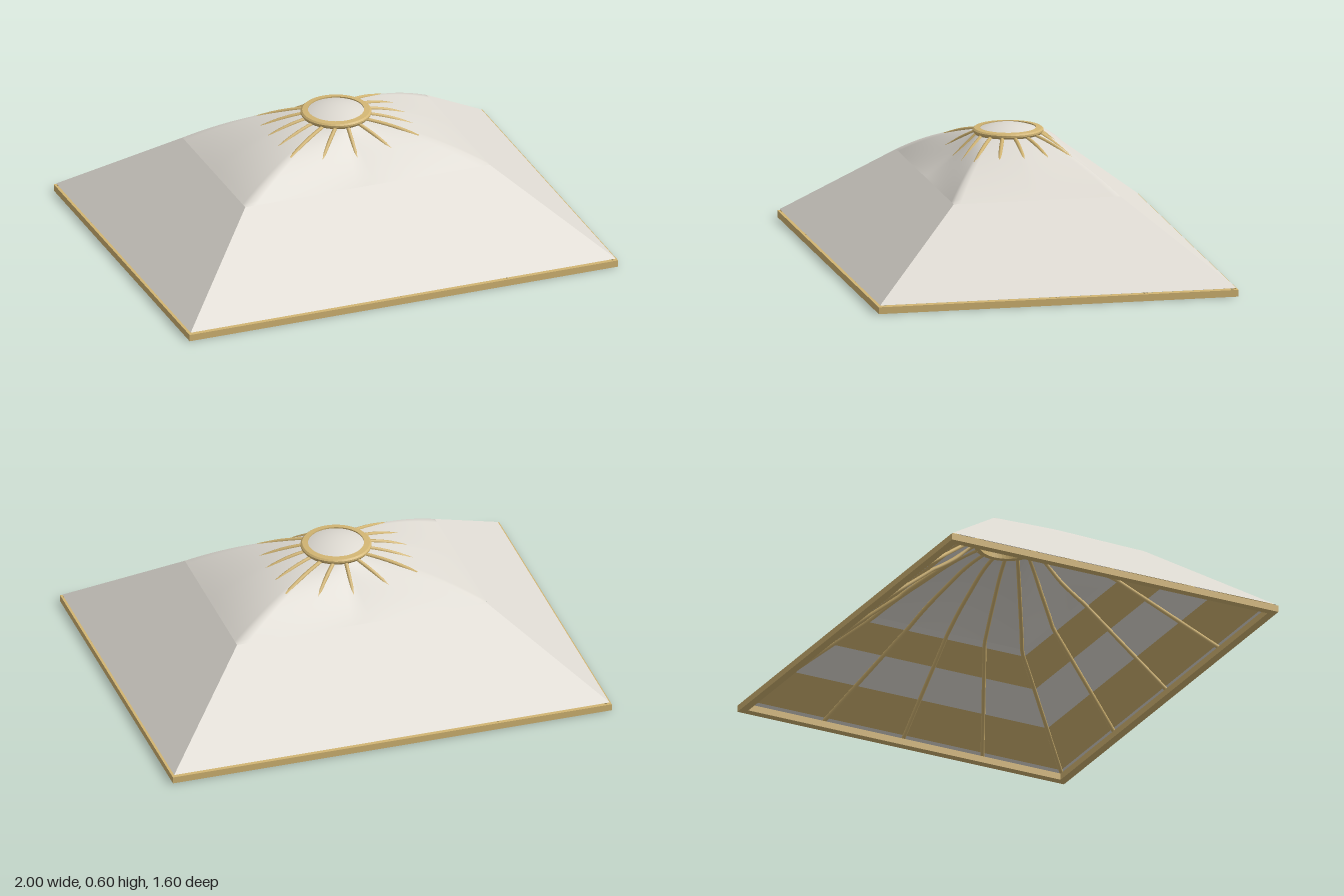
import * as THREE from 'three';

const CREASE = 0.43;   // plan inset where flat hips blend into the round crown
const CROWN_R = 0.14, CROWN_Y = 0.555;
const hipY = d => 0.03 + 0.8 * d;

// Point on a rectangle perimeter; u in 0..16, whole numbers are rib positions
function rectPoint(u, hx, hz) {
  const q = ((u + 2) % 16 + 16) % 16, side = Math.floor(q / 4), f = (q % 4) / 2 - 1;
  return [[hx, f * hz], [-f * hx, hz], [-hx, -f * hz], [f * hx, -hz]][side];
}

// Point on the canopy: s -1..0 flat hips, 0..1 blend into the crown
function canopyPoint(u, s) {
  if (s <= 0) {
    const d = 0.015 + (CREASE - 0.015) * (1 + s);
    const [x, z] = rectPoint(u, 1 - d, 0.8 - d);
    return new THREE.Vector3(x, hipY(d), z);
  }
  const [x, z] = rectPoint(u, 1 - CREASE, 0.8 - CREASE);
  const a = u * Math.PI / 8;
  const g = Math.abs(((u % 8) + 8) % 8 - 4) / 2;   // 2 on the x axis, 1 at corners, 0 on the z axis
  const bulge = g > 1 ? 0.09 + 0.02 * (g - 1) : -0.04 + 0.13 * g;
  const y0 = hipY(CREASE);
  return new THREE.Vector3(
    x + (CROWN_R * Math.cos(a) - x) * s,
    y0 + (CROWN_Y - y0) * s + bulge * s * (1 - s),
    z + (CROWN_R * Math.sin(a) - z) * s);
}

// Four flat faces of a hip roof between two insets
function hipBand(d0, d1, drop) {
  const pos = [], idx = [];
  for (let i = 0; i < 4; i++) {
    const b = pos.length / 3;
    for (const d of [d0, d1]) for (const u of [i * 4 - 2, i * 4 + 1.9999999]) {
      const [x, z] = rectPoint(u, 1 - d, 0.8 - d);
      pos.push(x, hipY(d) - drop, z);
    }
    idx.push(b, b + 2, b + 1, b + 1, b + 2, b + 3);
  }
  return surface(pos, idx);
}

function surface(pos, idx) {
  const g = new THREE.BufferGeometry();
  g.setAttribute('position', new THREE.Float32BufferAttribute(pos, 3));
  g.setIndex(idx);
  g.computeVertexNormals();
  return g;
}

// Smooth loft from the rectangle to the crown circle
function upperCanopy() {
  const N = 96, M = 20, pos = [], idx = [];
  for (let j = 0; j <= M; j++)
    for (let i = 0; i < N; i++) pos.push(...canopyPoint(i * 16 / N, j === 0 ? 1e-6 : j / M).toArray());
  for (let j = 0; j < M; j++)
    for (let i = 0; i < N; i++) {
      const a = j * N + i, b = j * N + (i + 1) % N;
      idx.push(a, a + N, b, b, a + N, b + N);
    }
  return surface(pos, idx);
}

export function createModel() {
  const root = new THREE.Group();
  const canvas = new THREE.MeshStandardMaterial({ color: 0xdedad2, side: THREE.DoubleSide });
  canvas.name = 'canvas';
  const wood = new THREE.MeshStandardMaterial({ color: 0xd2b573, side: THREE.DoubleSide });
  wood.name = 'pale wood';
  const add = (name, geo, mat, parent = root) => {
    const m = new THREE.Mesh(geo, mat);
    m.name = name;
    parent.add(m);
    return m;
  };

  // Base frame
  const frame = new THREE.Group();
  frame.name = 'baseFrame';
  root.add(frame);
  for (const s of [-1, 1]) {
    add('longBeam', new THREE.BoxGeometry(2, 0.03, 0.035), wood, frame).position.set(0, 0.015, s * 0.7825);
    add('shortBeam', new THREE.BoxGeometry(0.035, 0.03, 1.53), wood, frame).position.set(s * 0.9825, 0.015, 0);
  }

  // Canopy skin
  add('lowerCanopy', hipBand(0.008, CREASE, 0), canvas);
  add('upperCanopy', upperCanopy(), canvas);

  // Lining bands on the underside
  add('lowerLiningBand', hipBand(0.03, 0.17, 0.005), wood);
  add('upperLiningBand', hipBand(0.3, 0.41, 0.005), wood);

  // Sixteen ribs under the skin, surfacing near the crown
  const ribs = new THREE.Group();
  ribs.name = 'ribs';
  root.add(ribs);
  for (let u = 0; u < 16; u++) {
    const pts = [];
    for (let s = -1; s <= 1.001; s += 0.125) {
      const p = canopyPoint(u, s);
      p.y += -0.013 + 0.013 * THREE.MathUtils.smoothstep(s, 0.45, 0.85);
      pts.push(p);
    }
    add('rib', new THREE.TubeGeometry(new THREE.CatmullRomCurve3(pts), 40, 0.009, 8), wood, ribs);
  }

  // Crown ring and its shallow cap
  const ring = [[0.122, 0.55], [0.145, 0.55], [0.154, 0.562], [0.154, 0.57], [0.147, 0.576], [0.122, 0.578], [0.122, 0.55]];
  const ringGeo = new THREE.LatheGeometry(ring.map(p => new THREE.Vector2(...p)), 48).toNonIndexed();
  ringGeo.computeVertexNormals();
  add('crownRing', ringGeo, wood);
  const cap = [];
  for (let i = 0; i <= 10; i++) {
    const r = 0.124 * (1 - i / 10);
    cap.push(new THREE.Vector2(r, 0.572 + 0.023 * (1 - (r / 0.124) ** 2)));
  }
  add('crownCap', new THREE.LatheGeometry(cap, 48), canvas);

  return root;
}
